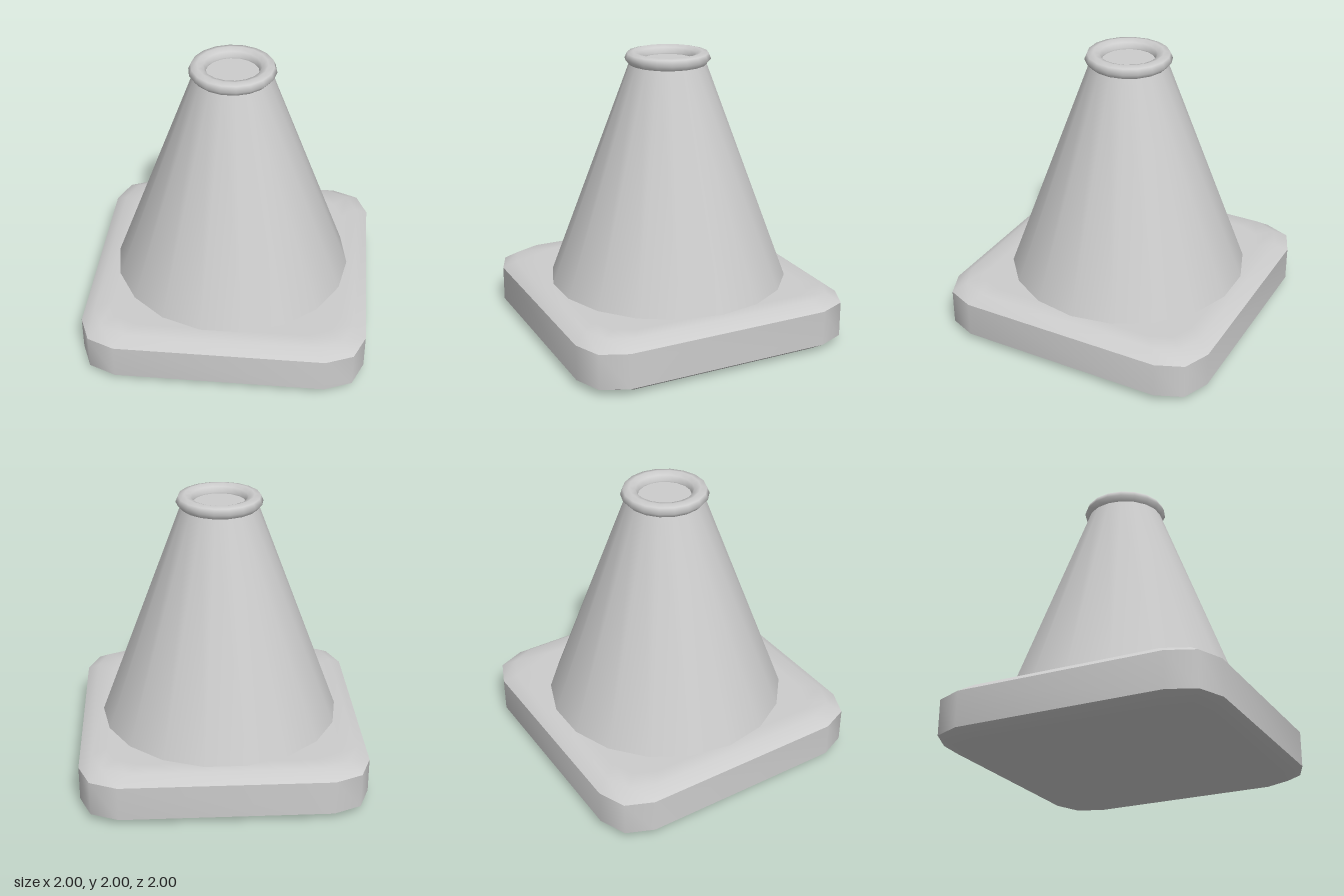
import * as THREE from 'three';
import { toCreasedNormals } from 'three/addons/utils/BufferGeometryUtils.js';

const CENTER_Z = -0.02; // the cone sits slightly behind the middle of the base
const SIDES = 18;

// Stack scaled copies of one outline: each level is [scale, y]
function loft(outline, levels) {
  const n = outline.length;
  const pos = [];
  const index = [];
  for (const [s, y] of levels) {
    for (const [x, z] of outline) pos.push(x * s, y, z * s);
  }
  for (let k = 0; k < levels.length - 1; k++) {
    for (let i = 0; i < n; i++) {
      const j = (i + 1) % n;
      const a = k * n + i, b = k * n + j;
      if (levels[k + 1][0] > 0) index.push(a, a + n, b + n);
      if (levels[k][0] > 0) index.push(a, b + n, b);
    }
  }
  const geo = new THREE.BufferGeometry();
  geo.setAttribute('position', new THREE.Float32BufferAttribute(pos, 3));
  geo.setIndex(index);
  // Triangles touching a collapsed centre need their non-degenerate half only
  const top = levels.length - 1;
  if (levels[top][0] === 0) {
    for (let i = 0; i < n; i++) {
      index.push((top - 1) * n + i, top * n, (top - 1) * n + (i + 1) % n);
    }
    const lastStart = index.length - n * 6;
    index.splice(lastStart, n * 3);
    geo.setIndex(index);
  }
  return toCreasedNormals(geo, 0.85);
}

// Round profile of [radius, y] points, from bottom to top
function turned(profile) {
  const points = profile.map(([r, y]) => new THREE.Vector2(r, y));
  return new THREE.LatheGeometry(points, SIDES, Math.PI / 2);
}

export function createModel() {
  const group = new THREE.Group();
  const grey = new THREE.MeshStandardMaterial({ color: 0xcccccc });
  grey.name = 'light grey';

  const add = (name, geo, z = 0) => {
    const mesh = new THREE.Mesh(geo, grey);
    mesh.name = name;
    mesh.position.z = z;
    group.add(mesh);
  };

  // Square base with clipped corners and bevelled edges
  const outline = [];
  for (let q = 0; q < 4; q++) {
    const c = Math.round(Math.cos(q * Math.PI / 2));
    const s = Math.round(Math.sin(q * Math.PI / 2));
    for (const [x, z] of [[1, 0.73], [0.92, 0.92], [0.73, 1]]) {
      outline.push([x * c - z * s, x * s + z * c]);
    }
  }
  add('base', loft(outline, [
    [0, 0], [0.8, 0], [0.925, 0], [1, 0.05], [1, 0.3], [0.915, 0.36], [0.8, 0.36], [0, 0.36],
  ]));

  // Tapered body
  add('cone', turned([[0.852, 0.355], [0.27, 1.915]]), CENTER_Z);

  // Rounded rim around the top opening
  add('rim', turned([
    [0.265, 1.91], [0.3, 1.95], [0.283, 1.99], [0.24, 2], [0.198, 1.985], [0.18, 1.95], [0.185, 1.93],
  ]), CENTER_Z);

  // Shallow floor inside the opening
  add('openingFloor', turned([[0.2, 1.94], [0, 1.94]]), CENTER_Z);

  return group;
}
